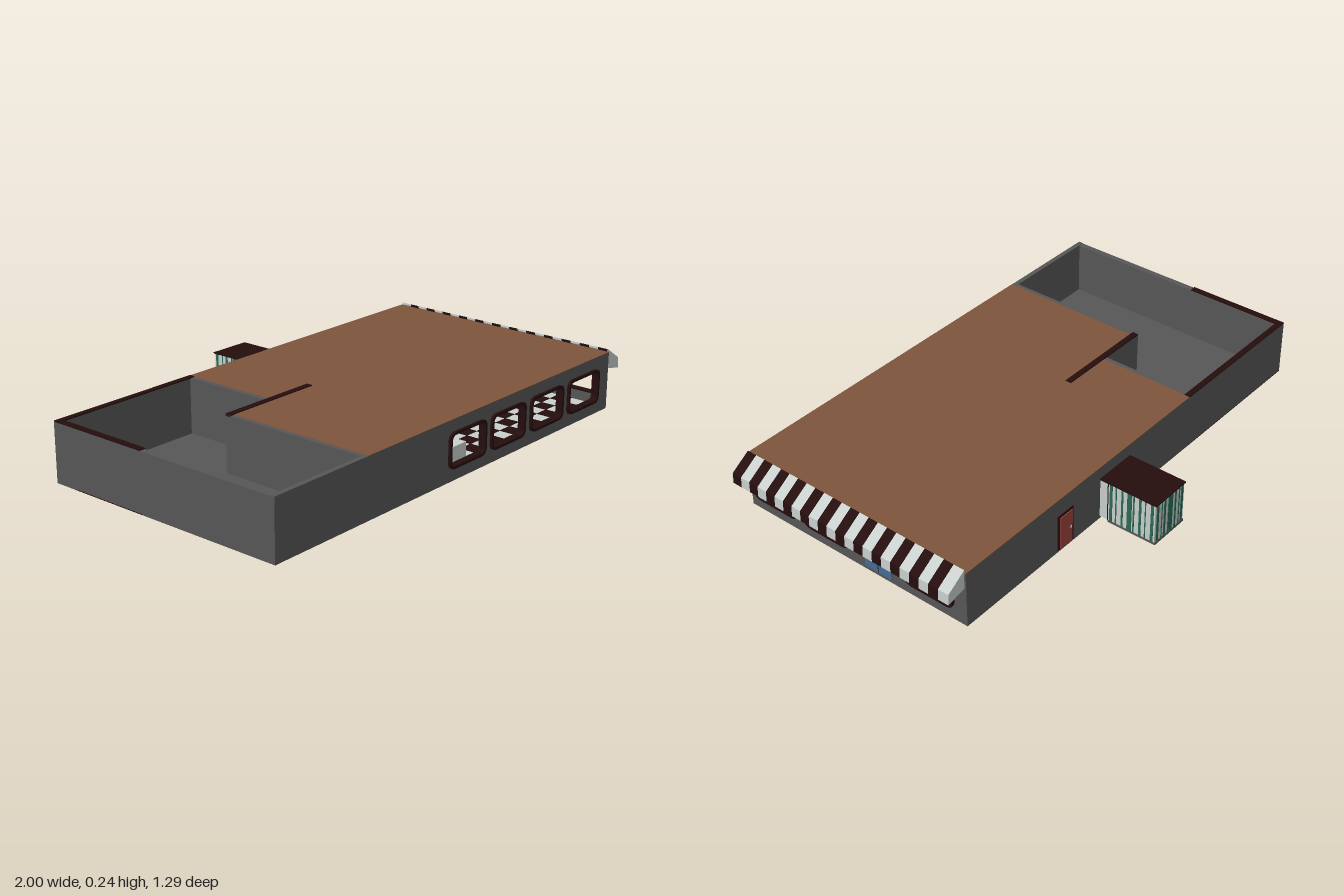
import * as THREE from 'three';
import { mergeGeometries } from 'three/addons/utils/BufferGeometryUtils.js';

const mat = (name, color) => {
  const m = new THREE.MeshStandardMaterial({ color, side: THREE.DoubleSide });
  m.name = name;
  return m;
};

export function createModel() {
  const gray = mat('wall gray', 0x575757), dark = mat('dark maroon', 0x240d0d);
  const brown = mat('roof brown', 0x7d543b), red = mat('red', 0x9a443c);
  const cream = mat('cream', 0xc4b294), white = mat('off white', 0xc8cfcc);
  const blue = mat('door blue', 0x456c94), green = mat('stripe green', 0x2c6a53);

  const model = new THREE.Group();
  model.name = 'diner';

  // Box given by its min and max corners
  const boxGeo = (x0, x1, y0, y1, z0, z1) =>
    new THREE.BoxGeometry(x1 - x0, y1 - y0, z1 - z0)
      .translate((x0 + x1) / 2, (y0 + y1) / 2, (z0 + z1) / 2);
  const add = (name, geo, material, parent = model) => {
    const m = new THREE.Mesh(geo, material);
    m.name = name;
    parent.add(m);
    return m;
  };
  const box = (name, material, ...b) => add(name, boxGeo(...b), material);
  const merged = (name, material, geos) => add(name, mergeGeometries(geos), material);

  // Rounded rectangle outline, used for window holes and frames
  const rounded = (Type, u0, u1, v0, v1, r) => {
    const s = new Type();
    s.moveTo(u0 + r, v0);
    s.lineTo(u1 - r, v0); s.quadraticCurveTo(u1, v0, u1, v0 + r);
    s.lineTo(u1, v1 - r); s.quadraticCurveTo(u1, v1, u1 - r, v1);
    s.lineTo(u0 + r, v1); s.quadraticCurveTo(u0, v1, u0, v1 - r);
    s.lineTo(u0, v0 + r); s.quadraticCurveTo(u0, v0, u0 + r, v0);
    return s;
  };
  const extrude = (shape, depth) =>
    new THREE.ExtrudeGeometry(shape, { depth, bevelEnabled: false, curveSegments: 5 });

  // Wall with rounded windows and their frames, outer face at local z = 0.02
  const windowWall = (name, u0, u1, windows) => {
    const g = new THREE.Group();
    g.name = name;
    const wall = new THREE.Shape([[u0, 0], [u1, 0], [u1, 0.23], [u0, 0.23]]
      .map(p => new THREE.Vector2(...p)));
    for (const [a, b] of windows) {
      wall.holes.push(rounded(THREE.Path, a + 0.005, b - 0.005, 0.053, 0.18, 0.025));
      const frame = rounded(THREE.Shape, a, b, 0.048, 0.185, 0.03);
      frame.holes.push(rounded(THREE.Path, a + 0.01, b - 0.01, 0.058, 0.175, 0.022));
      add('windowFrame', extrude(frame, 0.03), dark, g).position.z = 0.001;
    }
    add('wallPanel', extrude(wall, 0.02), gray, g);
    model.add(g);
    return g;
  };
  windowWall('frontWall', -1, 0.92,
    [[-0.115, 0.1], [0.132, 0.345], [0.38, 0.595], [0.63, 0.845]]).position.z = 0.61;
  const side = windowWall('entranceWall', -0.61, 0.38,
    [[-0.603, -0.388], [-0.352, -0.137], [0.13, 0.345]]);
  side.rotation.y = Math.PI / 2;
  side.position.x = 0.9;

  // Plain outer walls and yard walls
  box('backWall', gray, -1, 0.92, 0, 0.228, -0.4, -0.38);
  box('farWall', gray, -1, -0.976, 0, 0.228, -0.38, 0.61);
  box('yardWall', gray, -0.567, -0.548, 0, 0.23, 0.02, 0.61);
  box('yardStepWall', gray, -0.567, -0.345, 0, 0.23, 0, 0.02);
  box('yardInnerWall', gray, -0.365, -0.345, 0, 0.23, -0.38, 0);
  box('backWallCap', dark, -1, -0.345, 0.228, 0.232, -0.4, -0.376);
  box('farWallCap', dark, -1, -0.974, 0.228, 0.232, -0.4, 0.03);
  box('roofStrip', dark, -0.567, -0.14, 0.225, 0.234, 0, 0.025);

  // Floors and roof
  box('baseFloor', gray, -1, 0.92, 0.001, 0.01, -0.4, 0.63);
  box('storeUnderside', dark, -1, -0.35, 0, 0.003, -0.4, 0.03);
  box('roofFront', brown, -0.55, 0.92, 0.222, 0.231, 0.01, 0.63);
  box('roofBack', brown, -0.348, 0.92, 0.222, 0.231, -0.4, 0.01);

  // Chequered dining floor
  box('diningFloor', white, -0.34, 0.9, 0.01, 0.014, -0.38, 0.61);
  const tiles = [];
  for (let i = 0; i < 20; i++) for (let j = 0; j < 16; j++) {
    if ((i + j) % 2) continue;
    const x = -0.34 + i * 0.062, z = -0.38 + j * 0.0618;
    tiles.push(boxGeo(x, x + 0.062, 0.014, 0.016, z, z + 0.0618));
  }
  merged('darkTiles', dark, tiles);

  // Striped wall panels inside, plain above
  box('innerBackPanel', red, -0.34, 0.9, 0.01, 0.146, -0.38, -0.376);
  box('innerBackTop', white, -0.34, 0.9, 0.146, 0.222, -0.38, -0.376);
  box('innerEndPanel', red, -0.345, -0.34, 0.01, 0.146, -0.38, 0.61);
  box('innerEndTop', white, -0.345, -0.34, 0.146, 0.222, -0.38, 0.61);
  const creamBars = [];
  for (let x = -0.31; x < 0.87; x += 0.068) creamBars.push(boxGeo(x, x + 0.03, 0.01, 0.146, -0.376, -0.373));
  for (let z = -0.34; z < 0.57; z += 0.068) creamBars.push(boxGeo(-0.34, -0.337, 0.01, 0.146, z, z + 0.03));
  merged('wallpaperStripes', cream, creamBars);
  box('counter', white, -0.1, 0.1, 0.014, 0.075, 0.15, 0.55);
  box('partition', gray, 0.28, 0.3, 0.014, 0.222, -0.205, -0.12);

  // Blue double entrance door
  box('entranceDoor', blue, 0.915, 0.925, 0.018, 0.165, -0.062, 0.062);
  box('doorSeam', dark, 0.924, 0.926, 0.018, 0.165, -0.001, 0.001);
  for (const s of [-1, 1]) box('doorHandle', white, 0.925, 0.93, 0.065, 0.092, s * 0.005 - 0.0015, s * 0.005 + 0.0015);

  // Red back door and yard door
  box('backDoorFrame', dark, 0.358, 0.442, 0.01, 0.16, -0.404, -0.398);
  box('backDoor', red, 0.366, 0.434, 0.014, 0.152, -0.407, -0.4);
  box('backDoorKnob', white, 0.374, 0.38, 0.075, 0.085, -0.41, -0.406);
  box('yardDoorFrame', dark, -0.45, -0.37, 0.01, 0.16, -0.004, 0.002);
  box('yardDoor', brown, -0.442, -0.378, 0.01, 0.152, -0.007, 0);

  // Striped awning: sloping sheet with a hanging valance
  const profile = new THREE.Shape([[0.918, 0.242], [0.998, 0.19], [1, 0.147], [0.994, 0.147],
    [0.992, 0.186], [0.918, 0.234]].map(p => new THREE.Vector2(...p)));
  const pitch = 1.014 / 24;
  const sheets = [[], []];
  for (let i = 0; i < 24; i++)
    sheets[i % 2].push(extrude(profile, pitch).translate(0, 0, 0.624 - (i + 1) * pitch));
  merged('awningDarkStripes', dark, sheets[0]);
  merged('awningLightStripes', white, sheets[1]);
  const cheek = new THREE.Shape([[0.918, 0.242], [0.998, 0.19], [1, 0.147], [0.918, 0.165]]
    .map(p => new THREE.Vector2(...p)));
  for (const z of [0.624, -0.393]) add('awningEnd', extrude(cheek, 0.003), white).position.z = z;

  // Striped shed behind the building
  box('shedFloor', gray, 0.025, 0.2, 0.002, 0.012, -0.643, -0.435);
  box('shedBody', white, 0.028, 0.2, 0.012, 0.176, -0.64, -0.4);
  box('shedRoof', dark, 0.025, 0.203, 0.176, 0.181, -0.645, -0.4);
  const bars = [];
  const widths = [0.012, 0.005, 0.008, 0.02, 0.006, 0.01, 0.004, 0.012];
  widths.forEach((w, i) => {
    const z = -0.443 - i * 0.0255, x = 0.034 + i * 0.0208;
    for (const sx of [0.0265, 0.2]) bars.push(boxGeo(sx, sx + 0.0015, 0.012, 0.176, z - w, z));
    bars.push(boxGeo(x, x + w, 0.012, 0.176, -0.642, -0.64));
  });
  merged('shedStripes', green, bars);
  for (const x of [0.026, 0.2]) box('shedCornerTrim', dark, x, x + 0.002, 0.012, 0.176, -0.437, -0.434);

  return model;
}
